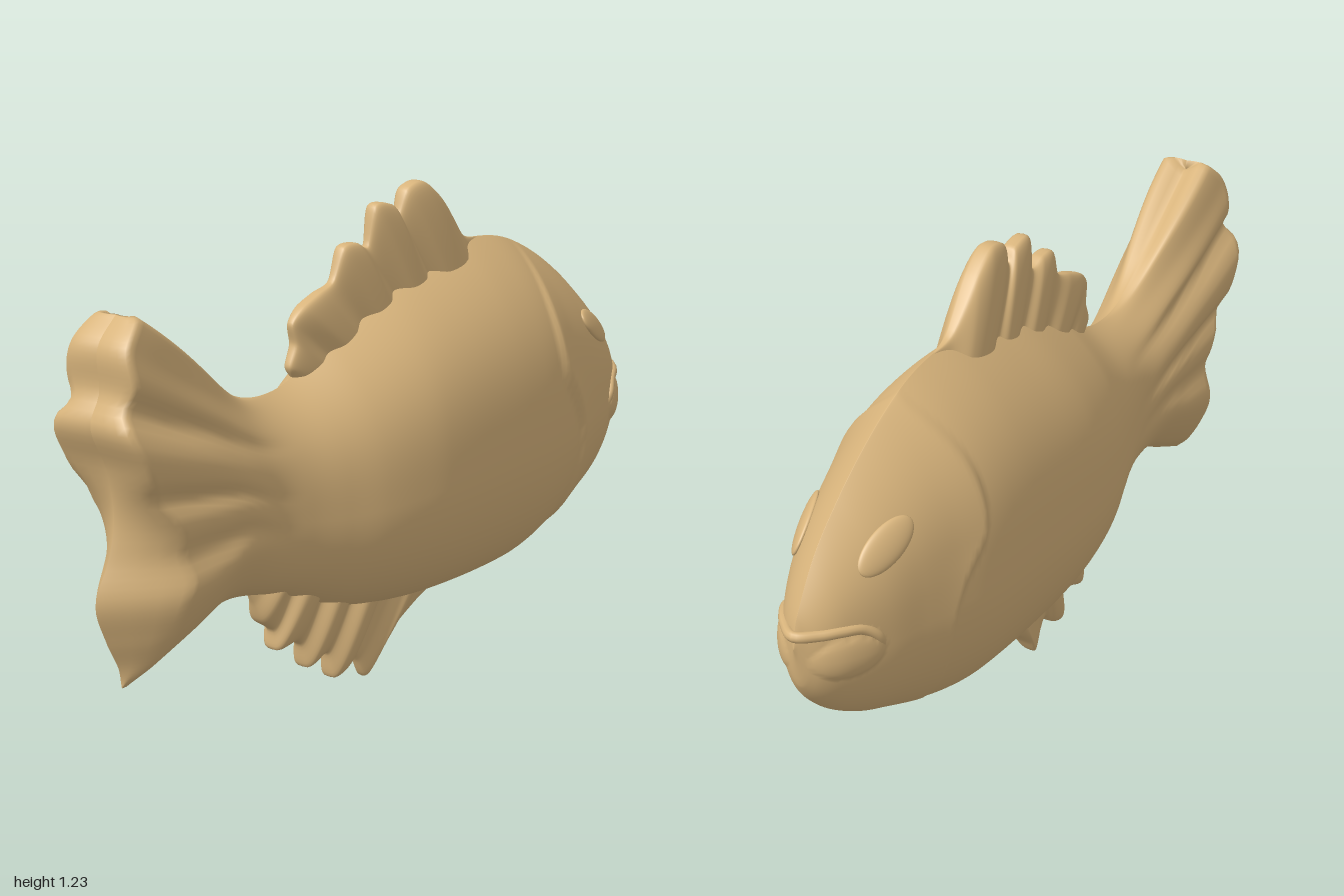
import * as THREE from 'three';

const V3 = (x, y, z) => new THREE.Vector3(x, y, z);
const smooth = THREE.MathUtils.smoothstep;

// Smooth function through [position, value] points
function profile(pts) {
  const slope = i => {
    const a = pts[Math.max(i - 1, 0)], b = pts[Math.min(i + 1, pts.length - 1)];
    return (b[1] - a[1]) / (b[0] - a[0]);
  };
  return p => {
    let i = 0;
    while (i < pts.length - 2 && p > pts[i + 1][0]) i++;
    const [p0, v0] = pts[i], [p1, v1] = pts[i + 1], d = p1 - p0;
    const t = THREE.MathUtils.clamp((p - p0) / d, 0, 1), t2 = t * t, t3 = t2 * t;
    return v0 * (2 * t3 - 3 * t2 + 1) + slope(i) * d * (t3 - 2 * t2 + t)
      + v1 * (3 * t2 - 2 * t3) + slope(i + 1) * d * (t3 - t2);
  };
}

// Skin over closed rings of points
function loft(rings) {
  const n = rings[0].length, index = [];
  for (let i = 0; i < rings.length - 1; i++) {
    for (let j = 0; j < n; j++) {
      const a = i * n + j, b = i * n + (j + 1) % n;
      index.push(a, b, a + n, b, b + n, a + n);
    }
  }
  const g = new THREE.BufferGeometry().setFromPoints(rings.flat());
  g.setIndex(index);
  g.computeVertexNormals();
  return g;
}

// Body outline from nose (-z) to tail (+z)
const top = profile([[-0.985, 0.61], [-0.975, 0.65], [-0.9, 0.77], [-0.8, 0.865], [-0.7, 0.938], [-0.6, 0.995],
  [-0.5, 1.035], [-0.4, 1.052], [-0.3, 1.053], [-0.15, 1.03], [0, 0.99], [0.2, 0.9], [0.35, 0.815], [0.45, 0.8],
  [0.55, 0.825], [0.7, 0.915], [0.95, 1.08]]);
const bottom = profile([[-0.985, 0.56], [-0.97, 0.48], [-0.9, 0.39], [-0.8, 0.32], [-0.7, 0.275], [-0.6, 0.235],
  [-0.5, 0.205], [-0.4, 0.187], [-0.2, 0.18], [0, 0.19], [0.2, 0.225], [0.4, 0.3], [0.5, 0.325], [0.6, 0.335],
  [0.7, 0.32], [0.82, 0.27], [0.95, 0.215]]);
const width = profile([[-0.985, 0.005], [-0.95, 0.052], [-0.9, 0.088], [-0.8, 0.135], [-0.7, 0.163], [-0.6, 0.187],
  [-0.5, 0.213], [-0.4, 0.225], [-0.2, 0.229], [0, 0.225], [0.1, 0.212], [0.2, 0.19], [0.3, 0.157], [0.4, 0.127],
  [0.5, 0.11], [0.6, 0.113], [0.75, 0.123], [0.95, 0.125]]);
// Gill cover edge by height
const gillEdge = profile([[0.2, -0.56], [0.3, -0.59], [0.45, -0.605], [0.56, -0.59], [0.63, -0.55],
  [0.7, -0.495], [0.85, -0.485], [1, -0.53]]);
// Scalloped tail edge and tail half thickness by height fraction
const tailEdge = profile([[0, 0.905], [0.06, 0.92], [0.14, 0.955], [0.25, 0.985], [0.36, 0.94], [0.47, 0.92],
  [0.6, 0.94], [0.72, 0.985], [0.8, 0.955], [0.92, 0.955], [1, 0.89]]);
const tailWidth = profile([[0, 0], [0.08, 0.062], [0.2, 0.118], [0.28, 0.134], [0.36, 0.113], [0.42, 0.128],
  [0.48, 0.124], [0.52, 0.107], [0.58, 0.13], [0.67, 0.134], [0.73, 0.115], [0.77, 0.086], [0.83, 0.106],
  [0.92, 0.09], [0.98, 0.07], [0.993, 0.05], [1, 0]]);
// The lower lobe of the tail narrows to a ridge behind, the upper one stays blunt
const wedge = y => 1.2 * (1 - smooth(y, 0.45, 0.75));

// Point of the body at station z and angle a around the section
function skin(z, a) {
  const t = top(z), b = bottom(z), tail = smooth(z, 0.4, 0.92);
  const mid = b + (t - b) * (0.41 + 0.09 * tail);
  const s = Math.sin(a), c = Math.cos(a);
  let y = mid + s * (s > 0 ? t - mid : mid - b);
  const v = (y - b) / Math.max(t - b, 0.001);
  let x = width(z) * (s > 0 ? 1 - s ** 3 : Math.abs(c));
  // Raised gill cover
  const d = gillEdge(y) - z;
  if (d > 0) x += 0.018 * smooth(d, 0, 0.025) * Math.exp(-d / 0.1) * Math.abs(c);
  // Full lower lip
  const lip = 1 - ((z + 0.895) / 0.075) ** 2 - ((y - 0.545) / 0.055) ** 2;
  if (lip > 0) x += 0.016 * Math.sqrt(lip);
  // Tail rays, with a notch along the upper edge
  x = THREE.MathUtils.lerp(x, tailWidth(v), tail);
  y -= tail * 0.03 * smooth(s, 0.9, 1) * (1 - smooth(x, 0, 0.05));
  return V3(Math.sign(c) * x, y, z + tail * (tailEdge(v) - 0.95 - wedge(y) * x));
}

function bodyGeometry() {
  const rings = [], N = 128, M = 180;
  const angles = Array.from({ length: N }, (_, j) => j / N * Math.PI * 2);
  rings.push(angles.map(() => V3(0, 0.585, -0.99)));
  for (let i = 0; i <= M; i++) {
    const z = -0.985 + 1.935 * (i / M) ** 1.3;
    rings.push(angles.map(a => skin(z, a)));
  }
  // Rounded rear edge of the tail, closing on the centre line
  const last = rings[rings.length - 1];
  for (const [k, dz] of [[0.92, 0.01], [0.7, 0.015], [0.4, 0.015], [0.12, 0.012], [0, 0.01]]) {
    rings.push(last.map(p => V3(p.x * k, p.y, p.z + dz + wedge(p.y) * Math.abs(p.x) * (1 - k))));
  }
  return loft(rings);
}

// Fin between a straight root and an outline of [z, y, half thickness]; dir is 1 up, -1 down
function finGeometry(outline, root0, root1, dir) {
  const edge = new THREE.CatmullRomCurve3(outline.map(p => V3(...p)), false, 'catmullrom', 0.4);
  const rings = [], M = 120, N = 36;
  for (let i = 0; i <= M; i++) {
    const u = i / M, e = edge.getPoint(u), ring = [];
    const rz = root0[0] + (root1[0] - root0[0]) * u, ry = root0[1] + (root1[1] - root0[1]) * u;
    for (let j = 0; j <= N; j++) {
      const a = j / N * Math.PI, v = Math.sin(a), c = Math.cos(a);
      const x = dir * Math.sign(c) * e.z * (1 + 0.3 * (1 - v)) * Math.abs(c) ** 0.5;
      ring.push(V3(x, ry + (e.y - ry) * v, rz + (e.x - rz) * v));
    }
    rings.push(ring);
  }
  return loft(rings);
}

// Point on the +x side of the body at a given height
function onBody(z, y) {
  const t = top(z), b = bottom(z), mid = b + (t - b) * 0.41;
  const s = (y - mid) / (y > mid ? t - mid : mid - b);
  return skin(z, Math.asin(THREE.MathUtils.clamp(s, -1, 1)));
}

export function createModel() {
  const fish = new THREE.Group();
  fish.name = 'fish';
  const material = new THREE.MeshStandardMaterial({ color: 0xd8b47c });
  const finMaterial = new THREE.MeshStandardMaterial({ color: 0xd8b47c, side: THREE.DoubleSide });
  const add = (name, geometry, mat = material) => {
    const mesh = new THREE.Mesh(geometry, mat);
    mesh.name = name;
    fish.add(mesh);
  };

  add('bodyAndTail', bodyGeometry());

  // Dorsal fin with backward-leaning lobes
  add('dorsalFin', finGeometry([
    [-0.4, 1.05, 0.004], [-0.32, 1.07, 0.02], [-0.22, 1.18, 0.04], [-0.15, 1.228, 0.046], [-0.09, 1.215, 0.045],
    [-0.062, 1.155, 0.03], [-0.035, 1.185, 0.04], [0.03, 1.19, 0.04], [0.055, 1.095, 0.026],
    [0.1, 1.11, 0.038], [0.15, 1.105, 0.038], [0.185, 1.03, 0.026], [0.24, 1.01, 0.036], [0.3, 0.985, 0.036],
    [0.335, 0.95, 0.024], [0.325, 0.9, 0.028], [0.345, 0.85, 0.022], [0.33, 0.82, 0.004],
  ], [-0.4, 0.98], [0.28, 0.78], 1), finMaterial);

  // Anal fin with downward lobes
  add('analFin', finGeometry([
    [-0.27, 0.185, 0.005], [-0.15, 0.155, 0.025], [-0.03, 0.1, 0.035], [0.03, 0.05, 0.042], [0.07, 0, 0.035],
    [0.1, 0.05, 0.03], [0.125, 0.075, 0.03], [0.155, 0.045, 0.05], [0.2, 0.035, 0.05], [0.215, 0.1, 0.03],
    [0.25, 0.105, 0.052], [0.3, 0.09, 0.052], [0.315, 0.15, 0.03], [0.35, 0.17, 0.052], [0.41, 0.165, 0.05],
    [0.415, 0.215, 0.03], [0.46, 0.25, 0.045], [0.48, 0.3, 0.02], [0.5, 0.34, 0.005],
  ], [-0.25, 0.26], [0.46, 0.4], -1), finMaterial);

  // Slanted almond eyes lying on the skin
  const along = onBody(-0.7, 0.805).sub(onBody(-0.84, 0.735)).normalize();
  const up = onBody(-0.77, 0.8).sub(onBody(-0.77, 0.74)).normalize();
  const out = up.clone().cross(along).normalize();
  const basis = new THREE.Matrix4().makeBasis(out, along.clone().cross(out), along);
  for (const side of [1, -1]) {
    const holder = new THREE.Group();
    holder.name = side > 0 ? 'leftEye' : 'rightEye';
    holder.scale.x = side;
    const eye = new THREE.Mesh(new THREE.SphereGeometry(1, 32, 20), material);
    eye.name = 'eyeball';
    eye.position.copy(onBody(-0.77, 0.768));
    eye.quaternion.setFromRotationMatrix(basis);
    eye.scale.set(0.014, 0.042, 0.088);
    holder.add(eye);
    fish.add(holder);
  }

  // Thin upper lip wrapped around the snout, its ends sunk into the cheeks
  const half = [[-0.815, 0.53, 0.85], [-0.83, 0.57, 0.95], [-0.865, 0.603, 0.96], [-0.91, 0.613, 0.96], [-0.95, 0.615, 0.96]]
    .map(([z, y, k]) => onBody(z, y).multiply(V3(k, 1, 1)));
  const other = half.map(p => V3(-p.x, p.y, p.z)).reverse();
  const lipCurve = new THREE.CatmullRomCurve3([...half, V3(0, 0.617, -0.985), ...other]);
  add('upperLip', new THREE.TubeGeometry(lipCurve, 64, 0.013, 12));

  return fish;
}
